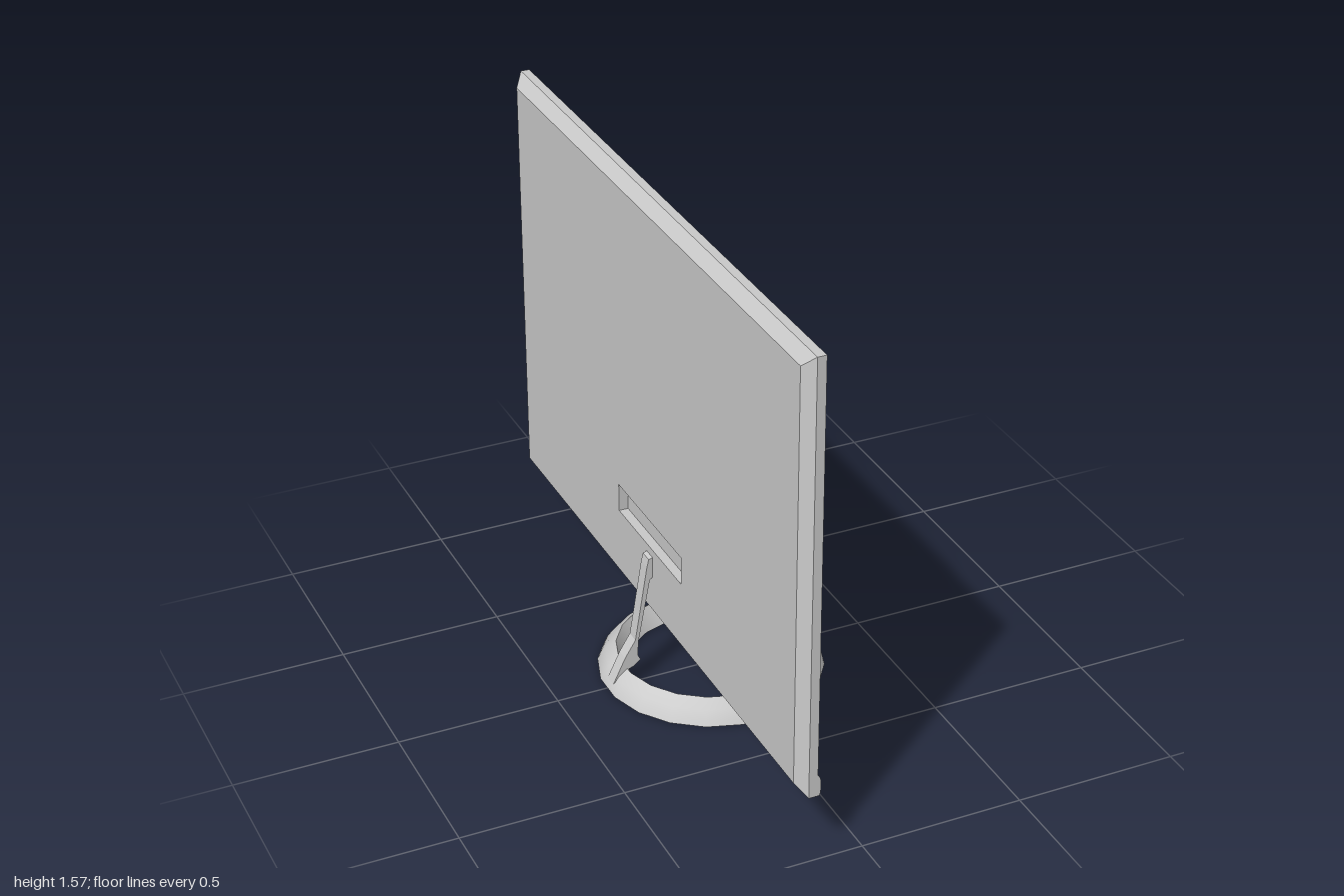
import * as THREE from 'three';
import { toCreasedNormals } from 'three/addons/utils/BufferGeometryUtils.js';

const grey = new THREE.MeshStandardMaterial({ color: 0xcccccc });

function mesh(name, geometry) {
  const m = new THREE.Mesh(geometry, grey);
  m.name = name;
  return m;
}

// Side profile in x/y, swept along z and centred on z = 0
function sweep(points, width) {
  const shape = new THREE.Shape(points.map(([x, y]) => new THREE.Vector2(x, y)));
  const g = new THREE.ExtrudeGeometry(shape, { depth: width, bevelEnabled: false });
  return g.translate(0, 0, -width / 2);
}

function rect(Type, u0, v0, u1, v1) {
  return new Type([[u0, v0], [u1, v0], [u1, v1], [u0, v1]].map(([u, v]) => new THREE.Vector2(u, v)));
}

// Back shell: a plate with a recessed slot, its rear rim drawn in to a bevel
function backShell() {
  const y0 = 0.215, y1 = 1.573, depth = 0.029, inset = 0.036;
  const shape = rect(THREE.Shape, -1, y0, 1, y1);
  shape.holes.push(rect(THREE.Path, -0.225, 0.46, 0.225, 0.55));
  const g = new THREE.ExtrudeGeometry(shape, { depth, bevelEnabled: false });
  const p = g.attributes.position;
  for (let i = 0; i < p.count; i++) {
    if (p.getZ(i) < depth / 2 || Math.abs(p.getX(i)) < 0.9) continue;
    p.setX(i, p.getX(i) - Math.sign(p.getX(i)) * inset);
    p.setY(i, p.getY(i) + (p.getY(i) < 1 ? inset : -inset));
  }
  g.computeVertexNormals();
  return g.rotateY(-Math.PI / 2).translate(-0.169, 0, 0);
}

export function createModel() {
  const model = new THREE.Group();
  model.name = 'monitor';

  // Screen slab with a rounded chin along the lower front edge
  const screen = [
    [-0.169, 0.215], [-0.14, 0.215], [-0.135, 0.219], [-0.133, 0.228],
    [-0.133, 0.266], [-0.136, 0.276], [-0.142, 0.284], [-0.142, 1.573], [-0.169, 1.573],
  ];
  model.add(mesh('screen', toCreasedNormals(sweep(screen, 2), 0.8)));
  model.add(mesh('backShell', backShell()));

  // Slim arm from the ring up to the back of the screen
  const arm = [
    [-0.196, 0.435], [-0.21, 0.43], [-0.216, 0.405], [-0.256, 0.16], [-0.29, 0.105],
    [-0.33, 0.022], [-0.29, 0.06], [-0.262, 0.07], [-0.24, 0.088], [-0.249, 0.105],
    [-0.246, 0.155], [-0.207, 0.36], [-0.196, 0.367],
  ];
  model.add(mesh('arm', sweep(arm, 0.042)));

  // Ring foot: flat underside, domed outer slope, inner slope
  const foot = [
    [0.252, 0], [0.344, 0], [0.336, 0.016], [0.318, 0.042], [0.287, 0.067], [0.252, 0],
  ].map(([r, y]) => new THREE.Vector2(r, y));
  const ring = new THREE.LatheGeometry(foot, 20, Math.PI / 20);
  model.add(mesh('ringFoot', toCreasedNormals(ring, 0.6)));

  return model;
}
